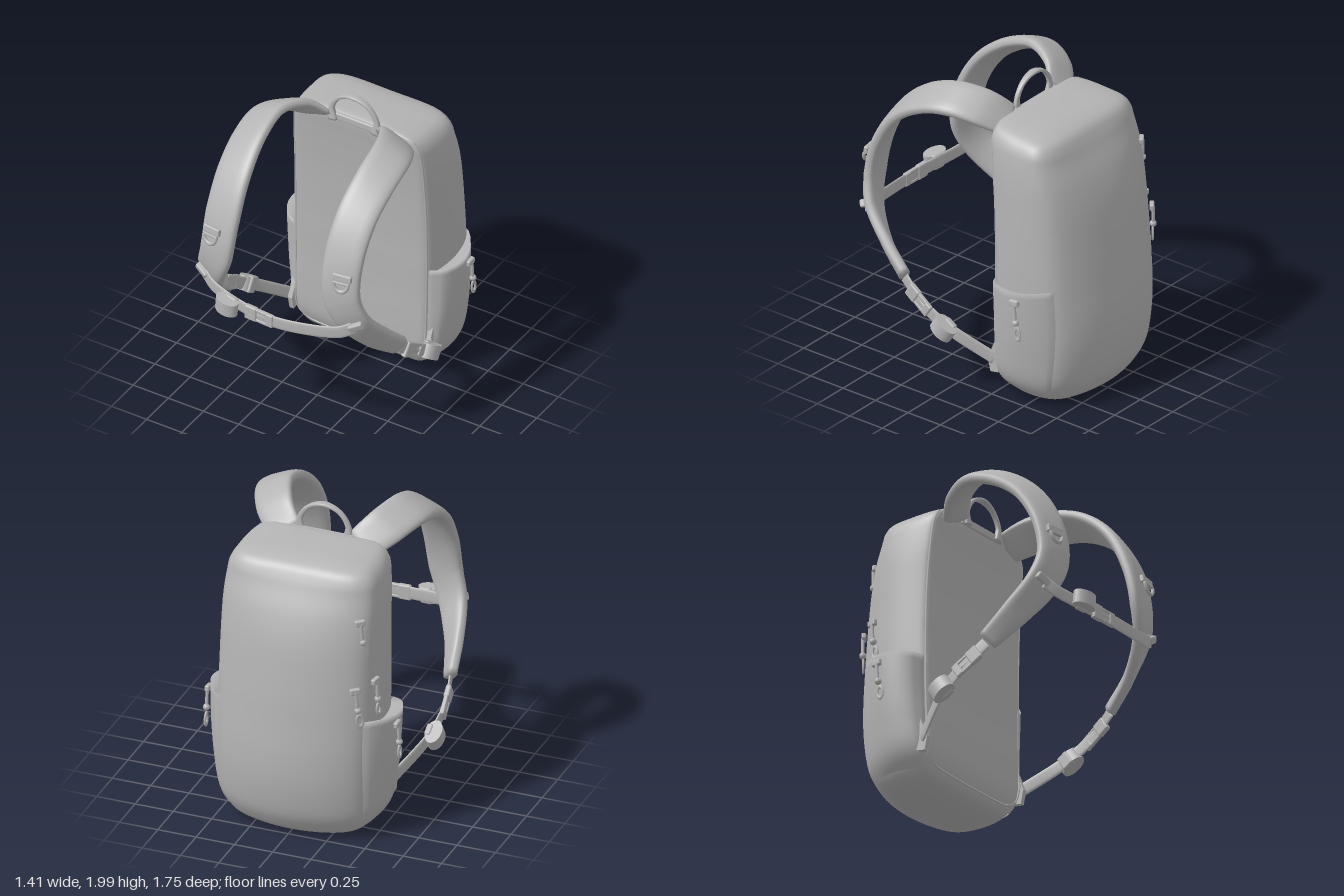
import * as THREE from 'three';
import { RoundedBoxGeometry } from 'three/addons/geometries/RoundedBoxGeometry.js';

const V = (x, y, z) => new THREE.Vector3(x, y, z);
const X = V(1, 0, 0), Y = V(0, 1, 0), Z = V(0, 0, 1);
const fabric = new THREE.MeshStandardMaterial({ color: 0xb4b4b4, side: THREE.DoubleSide });
fabric.name = 'grey fabric';

function mesh(name, geometry, x = 0, y = 0, z = 0) {
  const m = new THREE.Mesh(geometry, fabric);
  m.name = name;
  m.position.set(x, y, z);
  return m;
}
function group(name, ...children) {
  const g = new THREE.Group();
  g.name = name;
  if (children.length) g.add(...children);
  return g;
}
const box = (name, w, h, d, x, y, z) => mesh(name, new RoundedBoxGeometry(w, h, d, 2, Math.min(w, h, d) * 0.3), x, y, z);

// Skin joining rows of points
function loft(rows, closed = true) {
  const n = rows[0].length, index = [];
  for (let i = 0; i < rows.length - 1; i++) {
    for (let j = 0; j < (closed ? n : n - 1); j++) {
      const k = (j + 1) % n, a = i * n + j, b = i * n + k, c = b + n, d = a + n;
      index.push(a, b, c, a, c, d);
    }
  }
  const g = new THREE.BufferGeometry().setFromPoints(rows.flat());
  g.setIndex(index);
  g.computeVertexNormals();
  return g;
}
function pick(v, u) {
  if (!Array.isArray(v)) return v;
  const f = u * (v.length - 1), i = Math.min(Math.floor(f), v.length - 2);
  return THREE.MathUtils.lerp(v[i], v[i + 1], f - i);
}
// Flat rounded band along a path; w and t are half width and half thickness
function band(name, pts, w, t, ref, twist = 0, steps = 48) {
  const curve = new THREE.CatmullRomCurve3(pts), rows = [];
  const us = Array.from({ length: steps + 1 }, (_, i) => i / steps);
  [0, ...us, 1].forEach((u, i) => {
    const end = i === 0 || i === steps + 2 ? 0 : 1;
    const p = curve.getPoint(u), T = curve.getTangent(u);
    const A = ref.clone().addScaledVector(T, -T.dot(ref)).normalize();
    const B = T.clone().cross(A), a = pick(twist, u);
    const W = A.clone().multiplyScalar(Math.cos(a)).addScaledVector(B, Math.sin(a));
    const N = T.clone().cross(W), row = [];
    for (let j = 0; j < 24; j++) {
      const q = j / 24 * Math.PI * 2, c = Math.cos(q), s = Math.sin(q);
      row.push(p.clone()
        .addScaledVector(W, end * pick(w, u) * Math.sign(c) * Math.abs(c) ** 0.6)
        .addScaledVector(N, end * pick(t, u) * Math.sign(s) * Math.abs(s) ** 0.7));
    }
    rows.push(row);
  });
  return mesh(name, loft(rows));
}
// Place a part with its length along dir and its height near up
function place(part, pos, dir, up = Y) {
  const x = dir.clone().normalize();
  const y = up.clone().addScaledVector(x, -x.dot(up)).normalize();
  part.quaternion.setFromRotationMatrix(new THREE.Matrix4().makeBasis(x, y, x.clone().cross(y)));
  part.position.copy(pos);
  return part;
}

// Body levels: height, front z, back z, half width, squareness
const levels = [
  [0.006, -0.55, -0.55, 0, 0], [0.014, -0.42, -0.68, 0.28, 0], [0.04, -0.33, -0.74, 0.4, 0],
  [0.09, -0.275, -0.785, 0.46, 0], [0.2, -0.238, -0.84, 0.505, 0], [0.4, -0.235, -0.875, 0.515, 0],
  [0.6, -0.24, -0.878, 0.517, 0], [0.82, -0.24, -0.86, 0.52, 0], [1.0, -0.24, -0.843, 0.52, 0],
  [1.3, -0.23, -0.8, 0.515, 0.1], [1.5, -0.215, -0.745, 0.508, 0.3], [1.65, -0.2, -0.68, 0.492, 0.55],
  [1.73, -0.19, -0.645, 0.472, 0.8], [1.785, -0.187, -0.61, 0.43, 0.95], [1.812, -0.195, -0.56, 0.36, 1],
  [1.826, -0.24, -0.48, 0.22, 1], [1.83, -0.36, -0.36, 0, 1]];
const spineA = new THREE.CatmullRomCurve3(levels.map(l => V(l[0], l[1], l[2])), false, 'catmullrom', 0.5);
const spineB = new THREE.CatmullRomCurve3(levels.map(l => V(l[3], l[4], 0)), false, 'catmullrom', 0.5);
// Half outlines (across, depth): rounded back and squared back
const roundHalf = [[0, 0], [0.7, 0], [0.88, 0.02], [0.94, 0.1], [1, 0.42], [0.91, 0.74], [0.6, 0.91], [0, 1]];
const squareHalf = [[0, 0], [0.7, 0], [0.92, 0.03], [0.97, 0.15], [1, 0.5], [0.98, 0.83], [0.8, 0.97], [0, 1]];
function bodyOutline(level) {
  const a = spineA.getPoint(level / (levels.length - 1)), b = spineB.getPoint(level / (levels.length - 1));
  const half = roundHalf.map((p, i) => {
    const depth = THREE.MathUtils.lerp(p[1], squareHalf[i][1], b.y);
    const z = THREE.MathUtils.lerp(a.y, a.z, depth);
    // The lid slopes down towards the back
    return V(b.x * THREE.MathUtils.lerp(p[0], squareHalf[i][0], b.y), a.x + 0.07 * b.y * (z + 0.2), z);
  });
  const mirrored = half.slice(1, 7).reverse().map(p => V(-p.x, p.y, p.z));
  return new THREE.CatmullRomCurve3([...half, ...mirrored], true);
}
const bodyPoint = (level, k) => bodyOutline(level).getPoint(k / 14);

function body() {
  const rows = [];
  for (let i = 0; i <= 80; i++) {
    const o = bodyOutline(i / 80 * (levels.length - 1));
    rows.push(Array.from({ length: 84 }, (_, j) => o.getPoint(j / 84)));
  }
  return mesh('packBody', loft(rows));
}
function piping() {
  const side = [13, 12, 11, 9, 7, 5].map(l => bodyPoint(l, 2.15));
  side.push(V(0.458, 0.25, -0.243), V(0.435, 0.16, -0.257), V(0.36, 0.115, -0.264), V(0.25, 0.105, -0.266));
  const other = side.map(p => V(-p.x, p.y, p.z)).reverse();
  return mesh('backPanelPiping', new THREE.TubeGeometry(new THREE.CatmullRomCurve3([...side, ...other]), 120, 0.007, 6));
}
// Bulging side pocket with a turned-in rim
function pocket(s) {
  const rows = [];
  for (let i = 0; i <= 21; i++) {
    const v = Math.min(i / 20, 1), row = [], inner = i === 21;
    for (let j = 0; j <= 24; j++) {
      const t = j / 24, p = bodyPoint(3 + 4 * v, 2.3 + 2.75 * t);
      const edge = j === 0 || j === 24 ? -0.005 : 0.008;
      p.x += inner ? -0.01 : edge + 0.085 * Math.sin(Math.PI * t) ** 1.2 * Math.sin(v * Math.PI / 2);
      p.y += 0.04 * (t - 0.3) * v - (inner ? 0.05 : 0);
      p.x *= s;
      row.push(p);
    }
    rows.push(s > 0 ? row : row.reverse());
  }
  return mesh('sidePocket', loft(rows, false));
}
function zipPull(pos, angle) {
  const ring = mesh('pullLoop', new THREE.TorusGeometry(0.02, 0.008, 6, 16), 0.012, -0.205, 0.012);
  ring.scale.y = 1.9;
  const cord = mesh('pullCord', new THREE.CylinderGeometry(0.011, 0.011, 0.11, 8), 0.003, -0.06, 0.015);
  const g = group('zipPull', box('slider', 0.065, 0.04, 0.03, 0, 0, 0.008), cord,
    mesh('pullKnot', new THREE.SphereGeometry(0.022, 10, 8), 0.006, -0.13, 0.015), ring);
  g.position.copy(pos);
  g.rotation.set(0, angle, 0.08);
  return g;
}
function buckle(name) {
  const g = group(name, box('socket', 0.085, 0.1, 0.035, -0.055, 0, 0), box('plug', 0.05, 0.09, 0.03, 0.08, 0, 0),
    box('centreProng', 0.08, 0.022, 0.018, 0.02, 0, 0));
  for (const s of [1, -1]) g.add(box('sideProng', 0.09, 0.02, 0.025, 0.02, s * 0.036, 0));
  return g;
}
// Spare webbing rolled up beside its keeper
function webbingRoll() {
  const roll = mesh('roll', new THREE.CylinderGeometry(0.08, 0.08, 0.09, 24), 0, 0, 0.025);
  roll.scale.z = 0.65;
  return group('webbingRoll', roll, box('keeper', 0.08, 0.105, 0.04, 0.01, 0, -0.01));
}
function dRing(s) {
  const ring = mesh('ring', new THREE.TorusGeometry(0.048, 0.011, 8, 20, Math.PI), 0, -0.005, 0.016);
  ring.rotation.z = Math.PI;
  ring.scale.y = 1.25;
  const g = group('dRing', box('ringTab', 0.125, 0.05, 0.03, 0, 0.025, 0.003), ring, box('ringBar', 0.11, 0.018, 0.022, 0, -0.006, 0.014));
  g.position.set(s * 0.462, 1.345, 0.715);
  g.rotation.set(-0.15, s * 0.15, 0);
  return g;
}

function shoulderStrap(s) {
  const path = [[0.25, 1.765, -0.2], [0.365, 1.86, -0.07], [0.435, 1.895, 0.1], [0.445, 1.835, 0.3], [0.435, 1.685, 0.5],
    [0.43, 1.45, 0.64], [0.445, 1.2, 0.69], [0.505, 1.02, 0.65], [0.575, 0.835, 0.5], [0.62, 0.68, 0.325]];
  const g = group('shoulderStrap', band('paddedStrap', path.map(p => V(s * p[0], p[1], p[2])),
    [0.11, 0.125, 0.127, 0.127, 0.127, 0.125, 0.12, 0.108, 0.088, 0.065], [0.02, 0.036, 0.04, 0.04, 0.04, 0.04, 0.04, 0.04, 0.038, 0.034],
    X, [-0.2, -0.45, -0.47, -0.38, -0.25, -0.17, -0.2, -0.4, -0.8, -1].map(a => a * s), 72));
  // Lower webbing, buckle and rolled end
  const slope = V(0, 0.13, 0.2);
  g.add(band('lowerWebbing', [V(s * 0.625, 0.67, 0.32), V(s * 0.648, 0.56, 0.18), V(s * 0.625, 0.435, -0.01), V(s * 0.49, 0.25, -0.27)], 0.04, 0.009, Y),
    place(buckle('lowerBuckle'), V(s * 0.648, 0.57, 0.195), V(s * 0.02, -0.13, -0.2)),
    place(webbingRoll(), V(s * 0.628, 0.44, 0), slope.multiplyScalar(-s)));
  // Anchor tab on the pack
  const tri = new THREE.Shape([[0.31, 0.39], [0.27, 0.37], [0.22, 0.25], [0.24, 0.16], [0.3, 0.17]].map(p => new THREE.Vector2(...p)));
  const tab = mesh('anchorTab', new THREE.ExtrudeGeometry(tri, { depth: 0.03, bevelEnabled: false }).rotateY(Math.PI / 2), s * 0.485 - 0.015, 0, 0);
  // Chest strap slider
  const slider = box('chestSlider', 0.1, 0.05, 0.04, s * 0.545, 1.02, 0.69);
  slider.rotation.set(0.3, s * 0.4, s * 0.4);
  g.add(tab, slider, dRing(s));
  return g;
}

export function createModel() {
  const model = group('backpack', body(), piping());
  for (const s of [1, -1]) {
    model.add(pocket(s), shoulderStrap(s), zipPull(V(s * 0.608, 0.77, -0.515), s * Math.PI / 2));
  }
  // Main and rear compartment pulls on one side
  model.add(zipPull(V(-0.43, 1.5, -0.66), -2.5), zipPull(V(-0.43, 1.07, -0.74), -2.5), zipPull(V(-0.51, 1.1, -0.62), -1.75));
  // Chest strap
  const chest = [[0.53, 1.005, 0.69], [0.45, 0.965, 0.725], [0.25, 0.935, 0.77], [0, 0.92, 0.795]];
  const left = chest.slice(0, 3).map(p => V(-p[0], p[1], p[2]));
  model.add(group('chestStrap', band('chestWebbing', [...left, ...chest.map(p => V(...p)).reverse()], 0.042, 0.009, Y),
    place(buckle('chestBuckle'), V(-0.08, 0.922, 0.793), V(1, -0.03, 0.04)),
    place(webbingRoll(), V(-0.29, 0.935, 0.79), V(1, -0.1, 0.2))));
  // Grab handle and yoke
  const arch = [[-0.15, 1.77], [-0.158, 1.86], [-0.1, 1.95], [0, 1.985], [0.1, 1.95], [0.158, 1.86], [0.15, 1.77]];
  model.add(band('grabHandle', arch.map(p => V(p[0], p[1], -0.175)), [0.02, 0.014, 0.018, 0.026, 0.018, 0.014, 0.02],
    [0.03, 0.018, 0.012, 0.012, 0.012, 0.018, 0.03], Z),
    box('yoke', 0.4, 0.05, 0.03, 0, 1.79, -0.19));
  return model;
}
